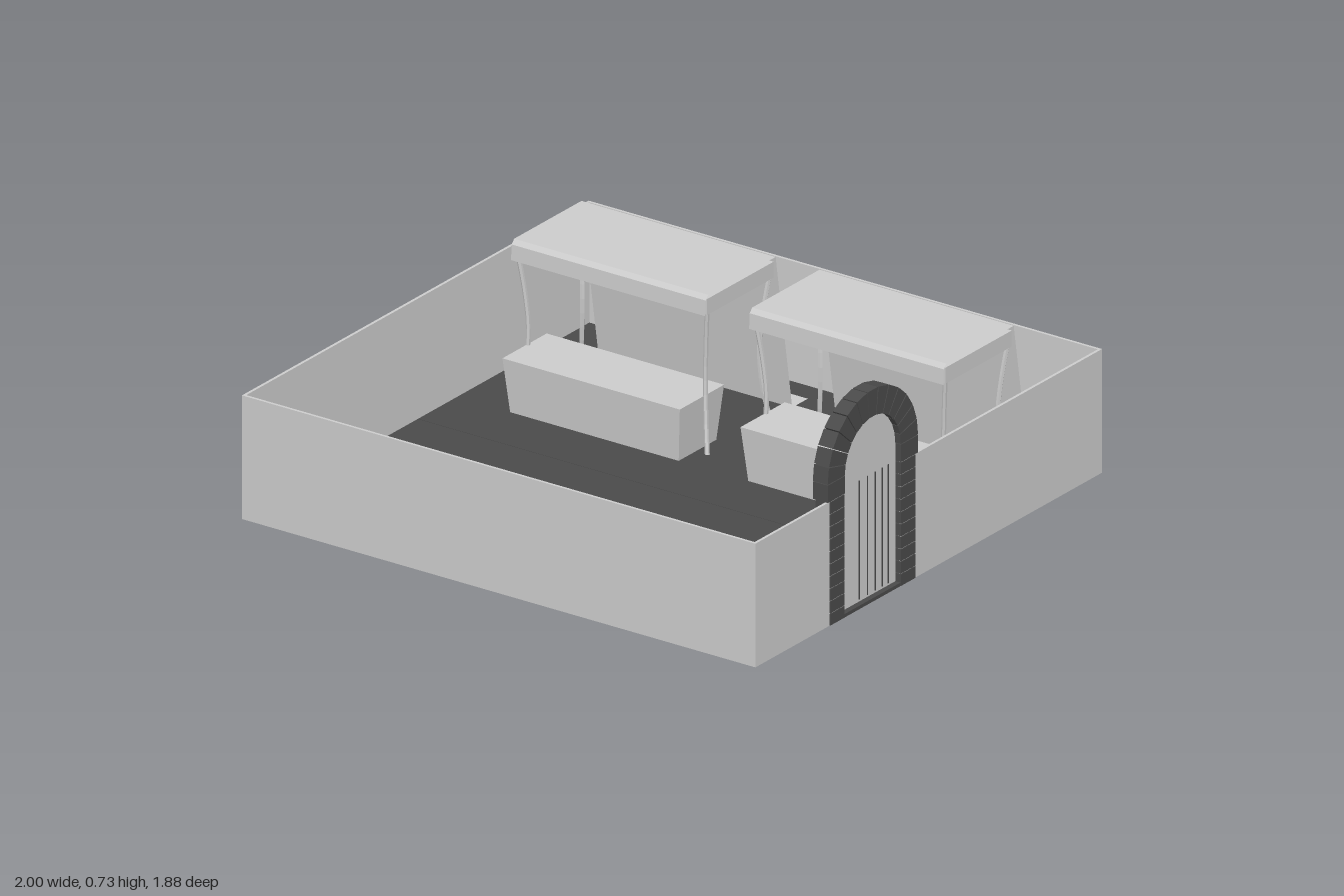
import * as THREE from 'three';

const mat = (color) => new THREE.MeshStandardMaterial({ color, flatShading: true, side: THREE.DoubleSide });
const grey = mat(0xcccccc), stone = mat(0x4a4a4a), pitStone = mat(0x666666);
const wood = mat(0x9c5426), darkWood = mat(0x5a341c);

function add(parent, name, geometry, material = grey) {
  const mesh = new THREE.Mesh(geometry, material);
  mesh.name = name;
  parent.add(mesh);
  return mesh;
}

function group(parent, name, x = 0, y = 0, z = 0) {
  const g = new THREE.Group();
  g.name = name;
  g.position.set(x, y, z);
  parent.add(g);
  return g;
}

// Box given by its limits on each axis
function box(parent, name, x0, x1, y0, y1, z0, z1, material) {
  const m = add(parent, name, new THREE.BoxGeometry(x1 - x0, y1 - y0, z1 - z0), material);
  m.position.set((x0 + x1) / 2, (y0 + y1) / 2, (z0 + z1) / 2);
  return m;
}

// Sheet swept along x from a [z, y] profile
function sheet(profile, width) {
  const g = new THREE.PlaneGeometry(width, 1, 1, profile.length - 1);
  const p = g.attributes.position;
  for (let i = 0; i < p.count; i++) {
    const [z, y] = profile[Math.floor(i / 2)];
    p.setXYZ(i, p.getX(i), y, z);
  }
  g.computeVertexNormals();
  return g;
}

function buildRoom(root) {
  const room = group(root, 'room');
  const W = 0.427, t = 0.01;
  [[-0.94, 0], [0, 0.575], [0.575, 0.94]].forEach(([a, b]) =>
    box(room, 'floor', -0.995, 0.995, 0, 0.012, a + 0.001, b - 0.001, stone));
  box(room, 'frontWall', -1, 0.997, 0, W, 0.94 - t, 0.94);
  box(room, 'backWall', -1, 0.997, 0, W, -0.94, -0.94 + t);
  box(room, 'rightWall', -1, -1 + t, 0, W, -0.94, 0.94);
  // The left wall leaves an opening for the door
  box(room, 'leftWall', 0.987, 0.997, 0, W, -0.94, 0.15);
  box(room, 'leftWall', 0.987, 0.997, 0, W, 0.465, 0.94);
}

function buildDoor(root) {
  const door = group(root, 'archedDoor', 0, 0, 0.307);
  const spring = 0.49, rIn = 0.152, rOut = 0.245;

  // Door leaf with a round top
  const s = new THREE.Shape();
  s.moveTo(-rIn, 0.01);
  s.lineTo(rIn, 0.01);
  s.lineTo(rIn, spring);
  s.absarc(0, spring, rIn, 0, Math.PI, false);
  s.closePath();
  const leaf = add(door, 'doorLeaf', new THREE.ExtrudeGeometry(s, { depth: 0.02, bevelEnabled: false, curveSegments: 16 }));
  leaf.rotation.y = Math.PI / 2;
  leaf.position.x = 0.958;
  for (const z of [0.045, 0, -0.042, -0.08, -0.112])
    box(door, 'plankGap', 0.956, 0.98, 0.02, 0.43, z - 0.002, z + 0.002, stone);
  box(door, 'sill', 0.945, 0.998, 0, 0.012, -rIn, rIn, stone);

  // Jamb stones
  const rows = 10, h = 0.428 / rows;
  for (const side of [-1, 1]) {
    for (let i = 0; i < rows; i++) {
      const b = box(door, 'jambStone', 0.942, 1, i * h + 0.001, (i + 1) * h - 0.002, -0.039, 0.039, stone);
      b.position.z = side * 0.192;
    }
    const b = box(door, 'springStone', 0.942, 1, 0.429, spring - 0.001, -0.046, 0.046, stone);
    b.position.z = side * 0.198;
  }

  // Wedge stones of the arch
  const n = 13, gap = 0.008;
  for (let i = 0; i < n; i++) {
    const a = (i * Math.PI) / n + gap, b = ((i + 1) * Math.PI) / n - gap;
    const w = new THREE.Shape([[rIn, a], [rOut, a], [rOut, b], [rIn, b]].map(
      ([r, q]) => new THREE.Vector2(r * Math.cos(q), spring + r * Math.sin(q))));
    const m = add(door, 'archStone', new THREE.ExtrudeGeometry(w, { depth: 0.058, bevelEnabled: false }), stone);
    m.rotation.y = Math.PI / 2;
    m.position.x = 0.942;
  }
}

function buildStall(root, x) {
  const stall = group(root, 'stall', x);
  box(stall, 'tableTop', -0.377, 0.377, 0.5, 0.555, -0.655, -0.295);

  // Cloth over the top, down the back and out along the floor
  add(stall, 'cloth', sheet([[-0.283, 0.5], [-0.286, 0.553], [-0.3, 0.568], [-0.665, 0.568],
    [-0.755, 0.016], [-0.84, 0.016]], 0.755));

  // Thin curved legs
  for (const sx of [-1, 1]) for (const sz of [-1, 1]) {
    const path = [[0, 0.5], [-0.012, 0.4], [-0.022, 0.25], [-0.012, 0.1], [0.004, 0.012]].map(
      ([d, y]) => new THREE.Vector3(sx * (0.366 + d), y, -0.477 + sz * (0.168 + d)));
    add(stall, 'leg', new THREE.TubeGeometry(new THREE.CatmullRomCurve3(path), 10, 0.008, 6));
  }

  // Bench block narrowing towards the floor
  const g = new THREE.BoxGeometry(0.69, 0.188, 0.24);
  const p = g.attributes.position;
  for (let i = 0; i < p.count; i++)
    if (p.getY(i) < 0) p.setXYZ(i, p.getX(i) * 0.95, p.getY(i), p.getZ(i) * 0.85);
  add(stall, 'bench', g).position.set(-0.003, 0.106, -0.315);
}

function buildBed(root) {
  const bed = group(root, 'bed');
  box(bed, 'mattress', -0.83, -0.4, 0.012, 0.1, 0.733, 0.91);

  // Blanket with a wavy head edge
  const s = new THREE.Shape();
  s.moveTo(-0.398, -0.912);
  s.lineTo(-0.398, -0.731);
  for (let i = 0; i <= 16; i++)
    s.lineTo(-0.672 + 0.006 * Math.sin(i * 0.9), -0.731 - (0.181 * i) / 16);
  const blanket = add(bed, 'blanket', new THREE.ExtrudeGeometry(s, { depth: 0.015, bevelEnabled: false }));
  blanket.rotation.x = -Math.PI / 2;
  blanket.position.y = 0.098;

  // Pillow, thick in the middle and pinched at its rim
  const g = new THREE.SphereGeometry(1, 20, 12);
  const p = g.attributes.position;
  const square = (v) => Math.sign(v) * Math.pow(Math.abs(v), 0.45);
  for (let i = 0; i < p.count; i++)
    p.setXYZ(i, square(p.getX(i)) * 0.036, p.getY(i) * 0.022, square(p.getZ(i)) * 0.085);
  g.computeVertexNormals();
  add(bed, 'pillow', g, new THREE.MeshStandardMaterial({ color: 0xcccccc })).position.set(-0.775, 0.115, 0.82);
}

function buildFire(root) {
  const fire = group(root, 'firePit', 0.172, 0.012, 0.755);

  // Ring of stones
  const n = 12;
  for (let i = 0; i < n; i++) {
    const a = (i / n) * Math.PI * 2;
    const m = add(fire, 'ringStone', new THREE.BoxGeometry(0.028, 0.035, 0.054), i % 2 ? stone : pitStone);
    m.position.set(Math.cos(a) * 0.11, 0.017, Math.sin(a) * 0.11);
    m.rotation.y = -a;
  }
  add(fire, 'ashBed', new THREE.CylinderGeometry(0.1, 0.1, 0.012, 16), darkWood).position.y = 0.006;

  // Split logs leaning together
  const up = new THREE.Vector3(0, 1, 0);
  for (let i = 0; i < 9; i++) {
    const a = (i / 9) * Math.PI * 2 + 0.2;
    const foot = new THREE.Vector3(Math.cos(a) * 0.085, 0.012, Math.sin(a) * 0.085);
    const tip = new THREE.Vector3(Math.cos(a) * 0.008, 0.145, Math.sin(a) * 0.008);
    const dir = tip.clone().sub(foot);
    const log = add(fire, 'log', new THREE.CylinderGeometry(0.007, 0.025, dir.length(), 4), i % 3 ? darkWood : wood);
    log.position.copy(foot).lerp(tip, 0.5);
    log.quaternion.setFromUnitVectors(up, dir.normalize());
  }

  // Frame over the fire
  for (const sx of [-1, 1])
    box(fire, 'framePost', sx * 0.122 - 0.007, sx * 0.122 + 0.007, 0, 0.2, -0.007, 0.007, wood);
  box(fire, 'frameBar', -0.133, 0.133, 0.182, 0.196, -0.007, 0.007, wood);
}

export function createModel() {
  const root = new THREE.Group();
  root.name = 'walledCourtyard';
  buildRoom(root);
  buildDoor(root);
  for (const x of [-0.453, 0.473]) buildStall(root, x);
  buildBed(root);
  buildFire(root);
  return root;
}
